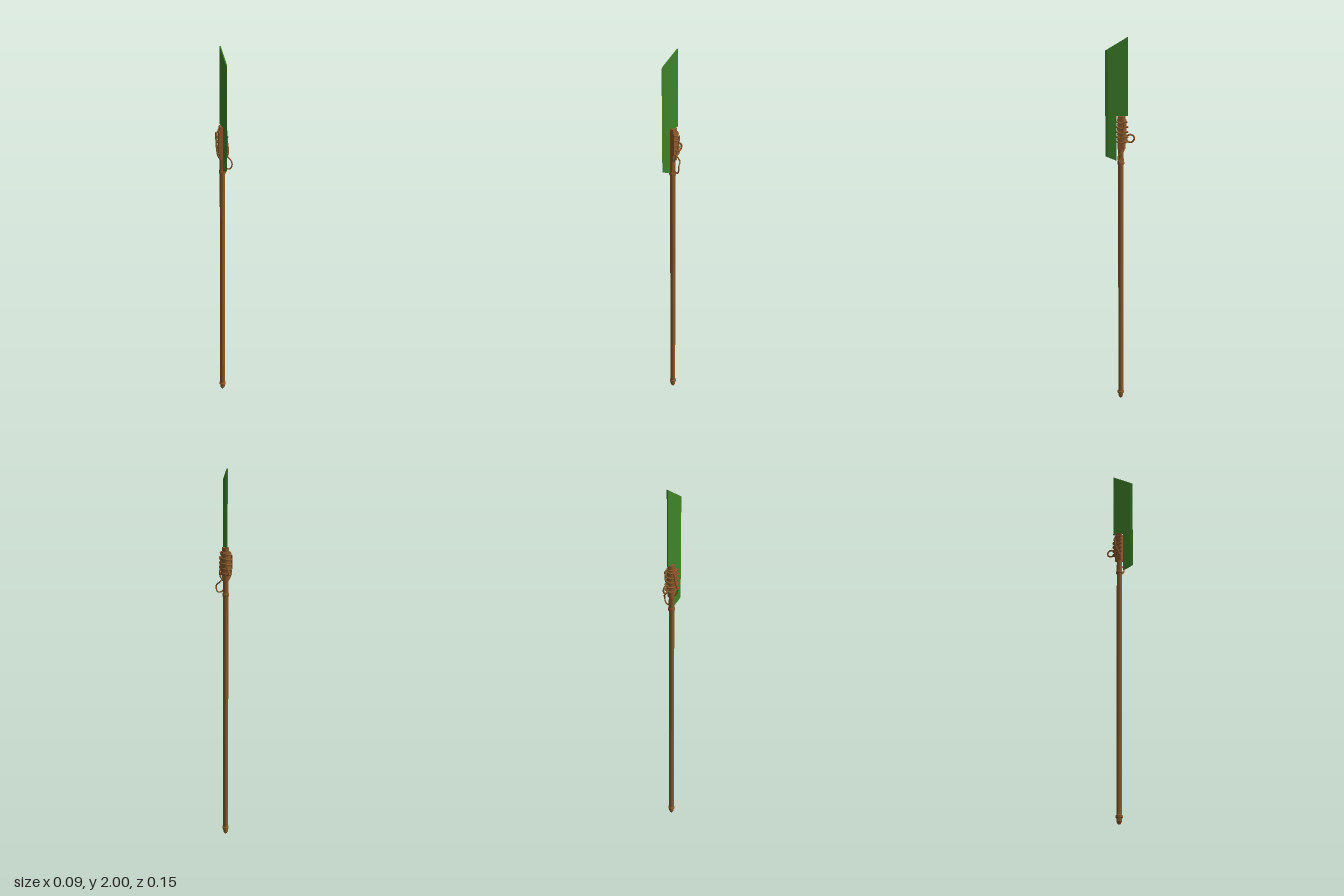
import * as THREE from 'three';

const CX = -0.012, CZ = -0.003; // pole axis
const wood = new THREE.MeshStandardMaterial({ color: 0x8b5a2b });
const green = new THREE.MeshStandardMaterial({ color: 0x3f8429 });
const V = (x, y, z) => new THREE.Vector3(x, y, z);

function add(group, name, geometry, material) {
  const mesh = new THREE.Mesh(geometry, material);
  mesh.name = name;
  group.add(mesh);
  return mesh;
}

// Turned part around the pole axis, points are [radius, y]
function turned(group, name, points) {
  const pts = points.map(([r, y]) => new THREE.Vector2(r, y));
  const m = add(group, name, new THREE.LatheGeometry(pts, 12).toNonIndexed(), wood);
  m.geometry.computeVertexNormals();
  m.position.set(CX, 0, CZ);
}

// Flat plate drawn in the z-y plane, centred on the pole; thickness along x
function plate(outline, thickness) {
  const shape = new THREE.Shape(outline.map(([z, y]) => new THREE.Vector2(z, y)));
  const g = new THREE.ExtrudeGeometry(shape, { depth: thickness, bevelEnabled: false });
  return g.translate(0, 0, -thickness / 2).rotateY(-Math.PI / 2).translate(CX, 0, 0);
}

// U-shaped sleeve: open and flat at the front, round at the back
function sleeve(half, front, y0, y1) {
  const s = new THREE.Shape();
  s.moveTo(-half, -front);
  s.lineTo(half, -front);
  s.lineTo(half, 0.01);
  s.absarc(0, 0.01, half, 0, Math.PI, false);
  s.closePath();
  const g = new THREE.ExtrudeGeometry(s, { depth: y1 - y0, bevelEnabled: false, curveSegments: 10 });
  return g.rotateX(-Math.PI / 2).translate(CX, y0, 0);
}

function cord(points, radius, closed = false) {
  return new THREE.TubeGeometry(new THREE.CatmullRomCurve3(points, closed), 28, radius, 8, closed);
}

export function createModel() {
  const model = new THREE.Group();
  model.name = 'glaive';

  // Pole with butt cap and collar
  turned(model, 'pole', [[0, 0.03], [0.014, 0.03], [0.014, 1.6], [0, 1.6]]);
  turned(model, 'buttCap', [[0, 0], [0.007, 0.002], [0.013, 0.013], [0.014, 0.03],
    [0.018, 0.032], [0.018, 0.042], [0.014, 0.046]]);
  turned(model, 'collar', [[0.014, 1.358], [0.018, 1.36], [0.018, 1.37], [0.015, 1.378], [0.014, 1.43]]);

  // Blade body, notched around the pole head
  const topY = z => 2 - (z + 0.038) * 0.6;
  const botY = z => 1.378 + (z - 0.02) * 0.39;
  add(model, 'blade', plate([[-0.038, 1.61], [0.02, 1.61], [0.02, botY(0.02)],
    [0.062, botY(0.062)], [0.062, topY(0.062)], [-0.038, 2]], 0.006), green);

  // Cutting edge, pinched to a line
  const edge = plate([[0.062, botY(0.062)], [0.076, botY(0.076)],
    [0.076, topY(0.076)], [0.062, topY(0.062)]], 0.006);
  const p = edge.attributes.position;
  for (let i = 0; i < p.count; i++) if (p.getZ(i) > 0.07) p.setX(i, CX);
  edge.computeVertexNormals();
  add(model, 'bladeEdge', edge, green);

  // Stepped socket holding the blade
  add(model, 'socketCore', sleeve(0.016, 0.012, 1.44, 1.61), wood);
  add(model, 'socketBody', sleeve(0.022, 0.012, 1.47, 1.59), wood);

  // Cord turns wrapped around the socket, sloping down toward the back
  for (let i = 0; i < 5; i++) {
    const y = 1.478 + i * 0.025;
    const half = i === 4 ? 0.023 : 0.027;
    const pts = [V(CX - half, y + 0.006, 0.019), V(CX - half, y + 0.003, -0.006)];
    for (let k = 1; k < 6; k++) {
      const a = Math.PI * (1 + k / 6);
      pts.push(V(CX + half * Math.cos(a), y - 0.004 * Math.sin(a * 2), -0.01 + half * Math.sin(a)));
    }
    pts.push(V(CX + half, y - 0.003, -0.006), V(CX + half, y + 0.006, 0.019));
    add(model, 'bindingCord', cord(pts, 0.0045), wood);
  }

  // Side cords running down the binding
  for (const s of [-1, 1]) {
    add(model, 'sideCord', cord([V(CX + s * 0.027, 1.575, -0.022), V(CX + s * 0.029, 1.52, -0.012),
      V(CX + s * 0.027, 1.465, 0.008), V(CX + s * 0.014, 1.44, 0.004)], 0.004), wood);
  }

  // Ring at the back
  const ring = add(model, 'backRing', new THREE.TorusGeometry(0.02, 0.0045, 8, 24), wood);
  ring.rotation.y = Math.PI / 2;
  ring.position.set(CX, 1.495, -0.051);

  // Loose cord loop hanging on the left
  add(model, 'hangingLoop', cord([V(0.004, 1.46, -0.018), V(0.022, 1.437, -0.019), V(0.034, 1.42, 0.004),
    V(0.036, 1.4, 0.007), V(0.026, 1.382, 0.005), V(0.008, 1.384, 0.001), V(-0.002, 1.395, -0.001)], 0.0035), wood);

  return model;
}
